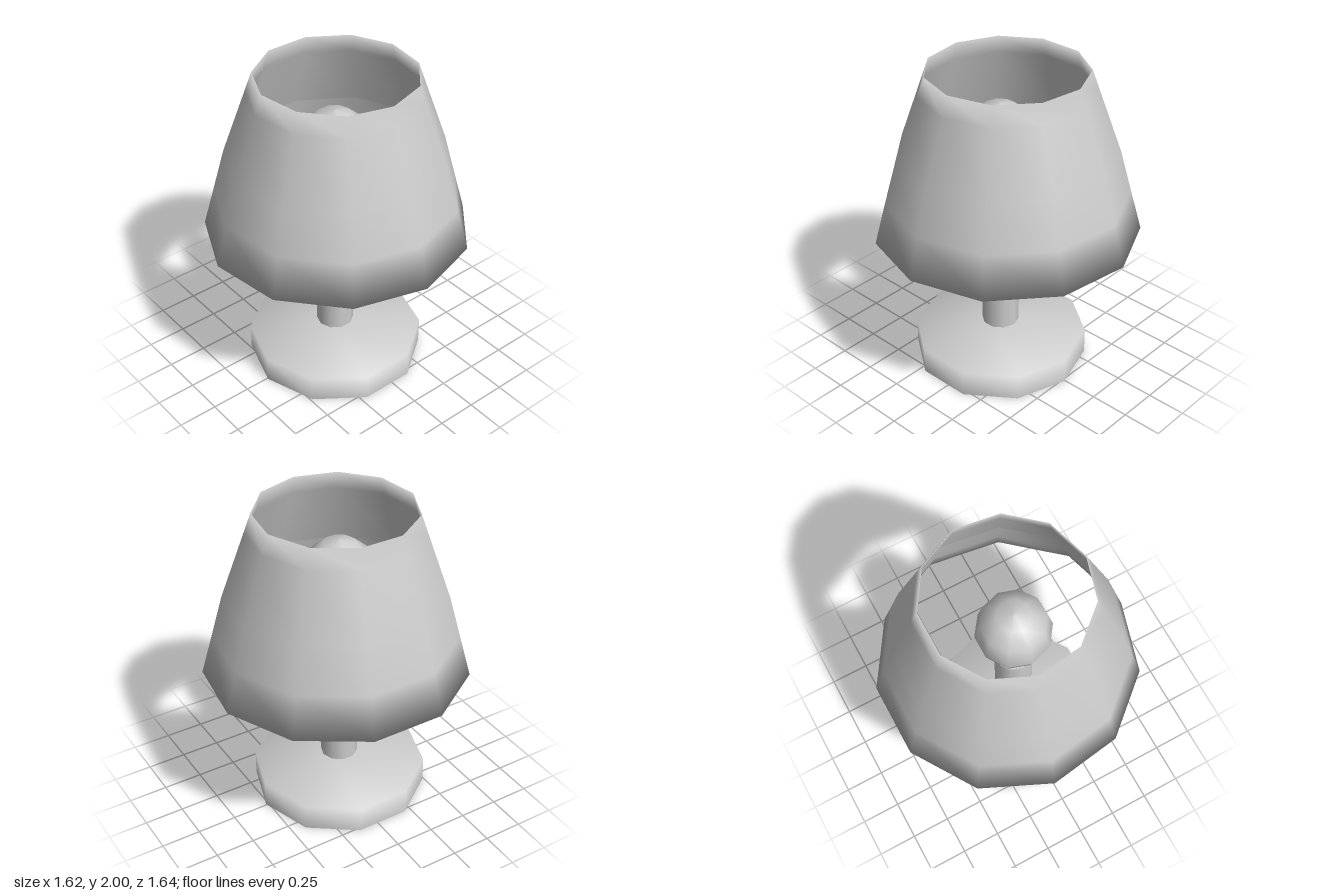
import * as THREE from 'three';

const material = new THREE.MeshStandardMaterial({ color: 0xcccccc });

// Smooth-shaded turned part from [radius, height] pairs; rising profiles face outwards
function turned(name, profile, sides, start = 0) {
  const points = profile.map(([r, y]) => new THREE.Vector2(r, y));
  const mesh = new THREE.Mesh(new THREE.LatheGeometry(points, sides, start), material);
  mesh.name = name;
  return mesh;
}

export function createModel() {
  const lamp = new THREE.Group();
  lamp.name = 'tableLamp';

  // Stand: foot, pole, socket and bulb share one ten-sided axis
  const stand = new THREE.Group();
  stand.name = 'stand';
  stand.position.set(0.007, 0, 0.038);
  stand.add(
    turned('footUnderside', [[0, 0], [0.555, 0]], 10),
    turned('foot', [[0.555, 0], [0.555, 0.17], [0.118, 0.23], [0, 0.235]], 10),
    turned('pole', [[0.118, 0.22], [0.118, 0.7], [0.118, 1.17], [0.11, 1.18], [0, 1.18]], 10),
    turned('socket', [[0.06, 1.17], [0.06, 1.34]], 10),
    turned('bulb', [
      [0, 1.3], [0.06, 1.31], [0.19, 1.41], [0.23, 1.54],
      [0.195, 1.68], [0.1, 1.76], [0, 1.78],
    ], 10),
  );
  lamp.add(stand);

  // Shade: outer wall from the bottom rim to the top rim, with a thin inner wall behind it
  const outer = [[0.754, 1.2], [0.68, 1.47], [0.533, 1.88]];
  const inner = outer.map(([r, y]) => [r - 0.012, y]).reverse();
  const bottomRim = [0.826, 0.94];
  const topRim = [0.49, 2];
  const shade = turned('shade', [
    inner[1], inner[2], bottomRim, ...outer, topRim, inner[0], inner[1],
  ], 11, Math.PI / 2);
  shade.position.x = -0.017;
  lamp.add(shade);

  return lamp;
}
